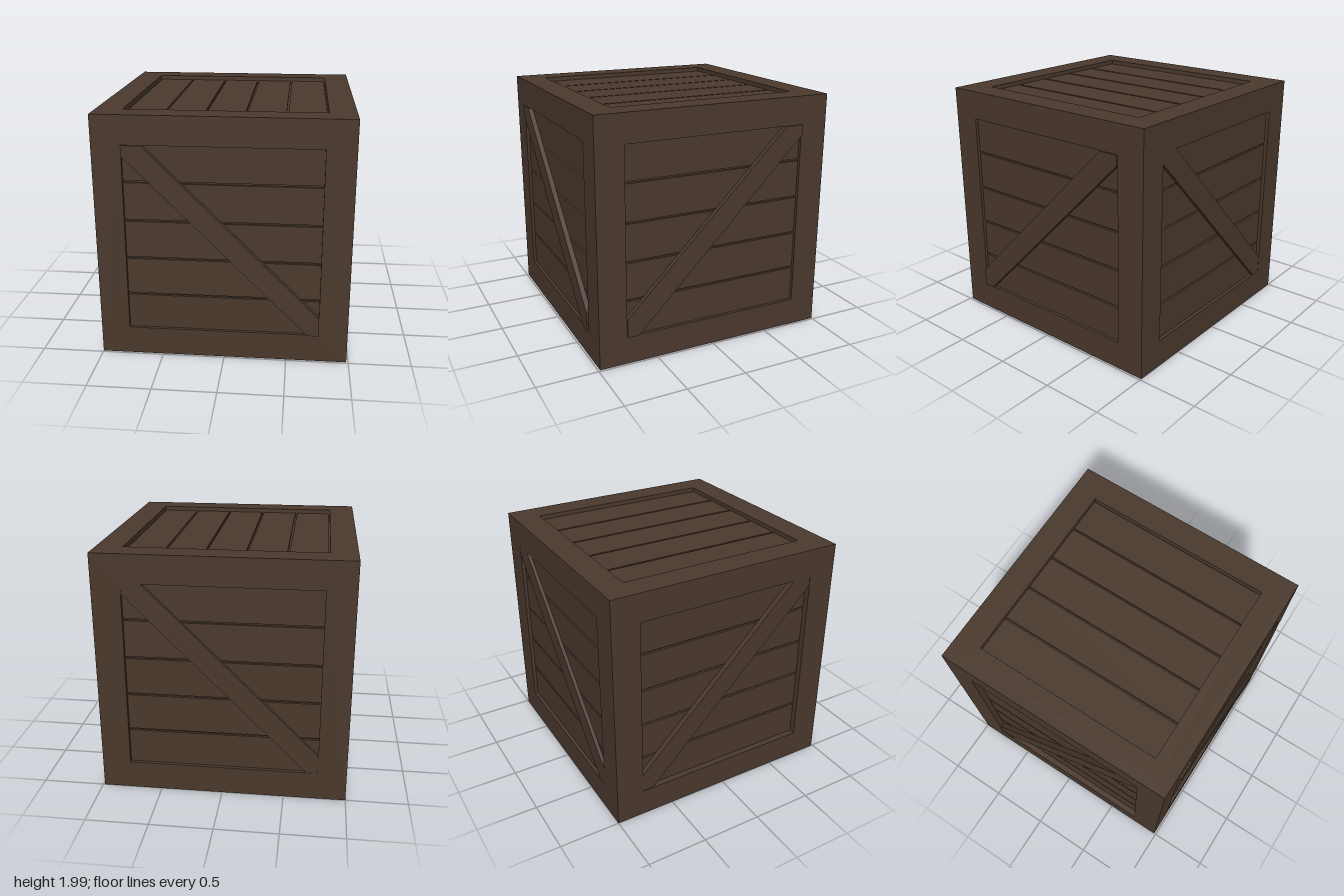
import * as THREE from 'three';

const HALF = 0.9925;   // half the frame's outer size
const RIM = 0.1;       // frame board thickness
const PITCH = 0.313;   // plank spacing
const GAP = 0.016;     // groove between planks
const GROOVE = 0.02;   // groove depth
const wood = new THREE.MeshStandardMaterial({ color: 0x4a392d, flatShading: true });

function add(parent, name, geometry, x = 0, y = 0, z = 0) {
  const mesh = new THREE.Mesh(geometry, wood);
  mesh.name = name;
  mesh.position.set(x, y, z);
  parent.add(mesh);
}

function outline(points) {
  return new THREE.Shape(points.map(([x, y]) => new THREE.Vector2(x, y)));
}

function rectangle(w, h) {
  return outline([[-w, -h], [w, -h], [w, h], [-w, h]]);
}

function extrude(shape, depth) {
  return new THREE.ExtrudeGeometry(shape, { depth, bevelEnabled: false });
}

// One side of the crate, outward along +z with its frame surface at z = 0
function createSide({ name, w, h, hole, recess, upright, brace, mirror = 1 }) {
  const side = new THREE.Group();
  side.name = name;

  // Frame border
  const border = rectangle(w, h);
  border.holes.push(rectangle(hole, hole));
  add(side, 'frameBorder', extrude(border, RIM), 0, 0, -RIM);

  // Five planks over a backing board
  const span = PITCH * 5;
  for (let i = -2; i <= 2; i++) {
    const at = i * PITCH, board = PITCH - GAP;
    const size = upright ? [board, span] : [span, board];
    add(side, 'plank', new THREE.BoxGeometry(...size, GROOVE),
      upright ? at : 0, upright ? 0 : at, -recess - GROOVE / 2);
  }
  add(side, 'backingBoard', new THREE.BoxGeometry(span, span, 0.02), 0, 0, -recess - GROOVE - 0.01);

  // Diagonal brace, cut to the opening
  if (brace !== undefined) {
    const corners = [[-hole, hole], [-hole, 0.682], [0.672, -hole], [hole, -hole], [hole, -0.61], [-0.607, hole]]
      .map(([x, y]) => [x * mirror, y]);
    add(side, 'diagonalBrace', extrude(outline(corners), recess + brace), 0, 0, -recess);
  }
  return side;
}

export function createModel() {
  const crate = new THREE.Group();
  crate.name = 'crate';
  const body = new THREE.Group();
  body.name = 'crateBody';
  body.position.set(-0.0075, HALF, -0.0075);
  crate.add(body);

  const inner = HALF - RIM, opening = 0.7625, lid = 0.782;
  const sides = [
    { name: 'front', w: HALF, h: HALF, hole: opening, recess: 0.025, brace: 0.015, turn: [0, 0] },
    { name: 'back', w: HALF, h: HALF, hole: opening, recess: 0.03, brace: -0.002, turn: [0, Math.PI] },
    { name: 'right', w: inner, h: HALF, hole: opening, recess: 0.025, brace: 0.015, mirror: -1, turn: [0, Math.PI / 2] },
    { name: 'left', w: inner, h: HALF, hole: opening, recess: 0.05, brace: -0.005, mirror: -1, turn: [0, -Math.PI / 2] },
    { name: 'top', w: inner, h: inner, hole: lid, recess: 0.035, upright: true, turn: [-Math.PI / 2, 0] },
    { name: 'bottom', w: inner, h: inner, hole: lid, recess: 0.03, upright: true, turn: [Math.PI / 2, 0] },
  ];
  for (const spec of sides) {
    const side = createSide({ ...spec, name: spec.name + 'Side' });
    side.rotation.set(spec.turn[0], spec.turn[1], 0);
    side.translateZ(HALF);
    body.add(side);
  }
  return crate;
}
